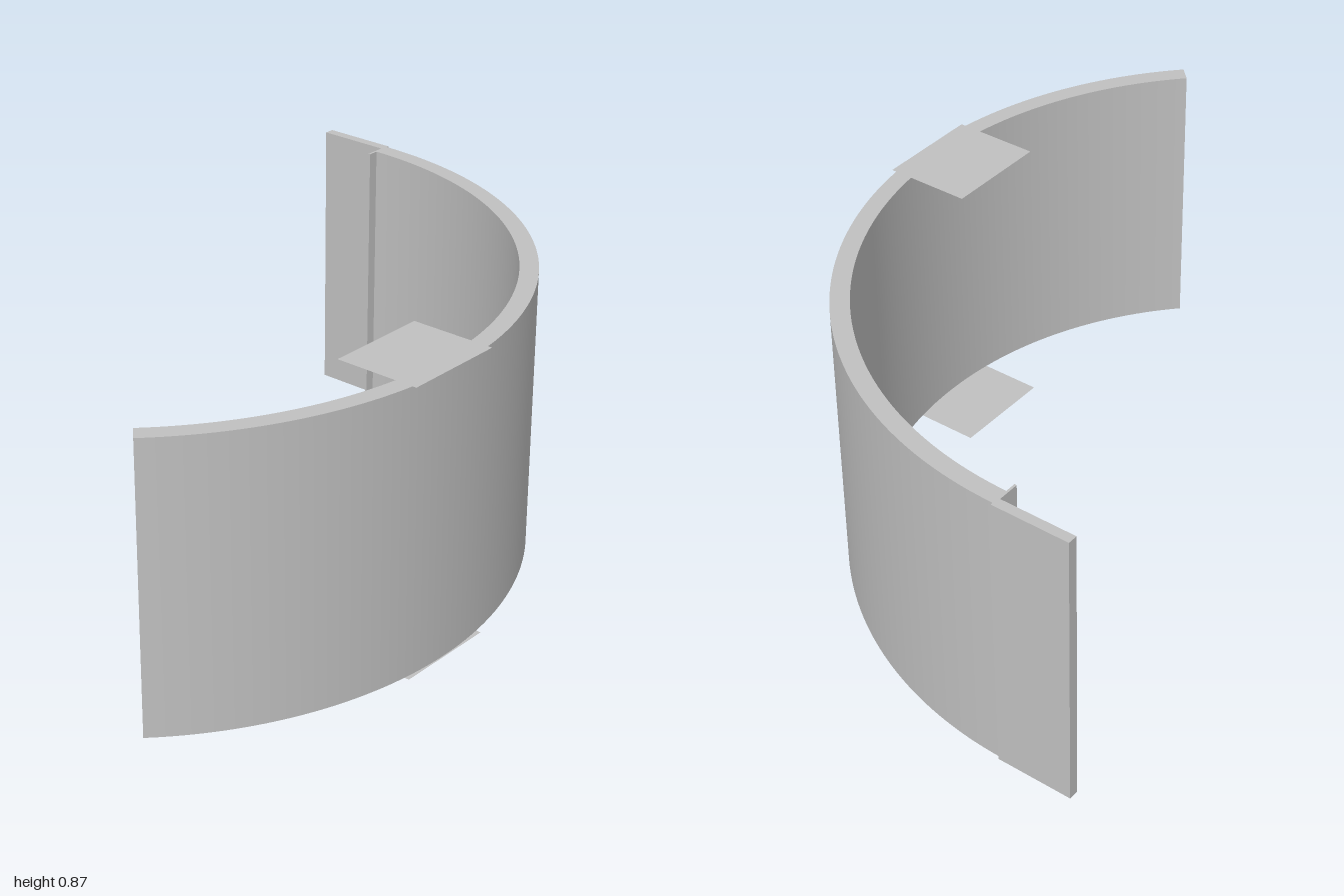
import * as THREE from 'three';
import { toCreasedNormals } from 'three/addons/utils/BufferGeometryUtils.js';

export function createModel() {
  const group = new THREE.Group();
  const height = 0.87;
  const grey = new THREE.MeshStandardMaterial({ color: 0xc0c0c0, side: THREE.DoubleSide });
  grey.name = 'plain grey';

  const add = (name, geometry, x, y, z) => {
    const mesh = new THREE.Mesh(geometry, grey);
    mesh.name = name;
    mesh.position.set(x, y, z);
    group.add(mesh);
  };

  // Curved wall: a 135 degree ring sector, extruded upwards
  const outer = 1.167, inner = 1.112;
  const sector = new THREE.Shape();
  sector.absarc(0, 0, outer, -Math.PI / 4, Math.PI / 2, false);
  sector.absarc(0, 0, inner, Math.PI / 2, -Math.PI / 4, true);
  sector.closePath();
  const wall = new THREE.ExtrudeGeometry(sector, { depth: height, bevelEnabled: false, curveSegments: 72 });
  wall.rotateX(-Math.PI / 2);
  add('curvedWall', toCreasedNormals(wall, 0.5), -0.47, 0, 0.175);

  // Flat end tab and the narrow fin behind it
  add('endTab', new THREE.BoxGeometry(0.235, height, 0.03), -0.5845, height / 2, -0.985);
  add('endFin', new THREE.BoxGeometry(0.007, height, 0.09), -0.4685, height / 2, -0.95);

  // Paper-thin square plates across the top and bottom edges
  for (const [name, y, turn] of [['topPlate', height + 0.001, -1], ['bottomPlate', -0.001, 1]]) {
    const plate = new THREE.PlaneGeometry(0.26, 0.32).rotateX(turn * Math.PI / 2);
    add(name, plate, 0.57, y, 0.172);
  }
  return group;
}
